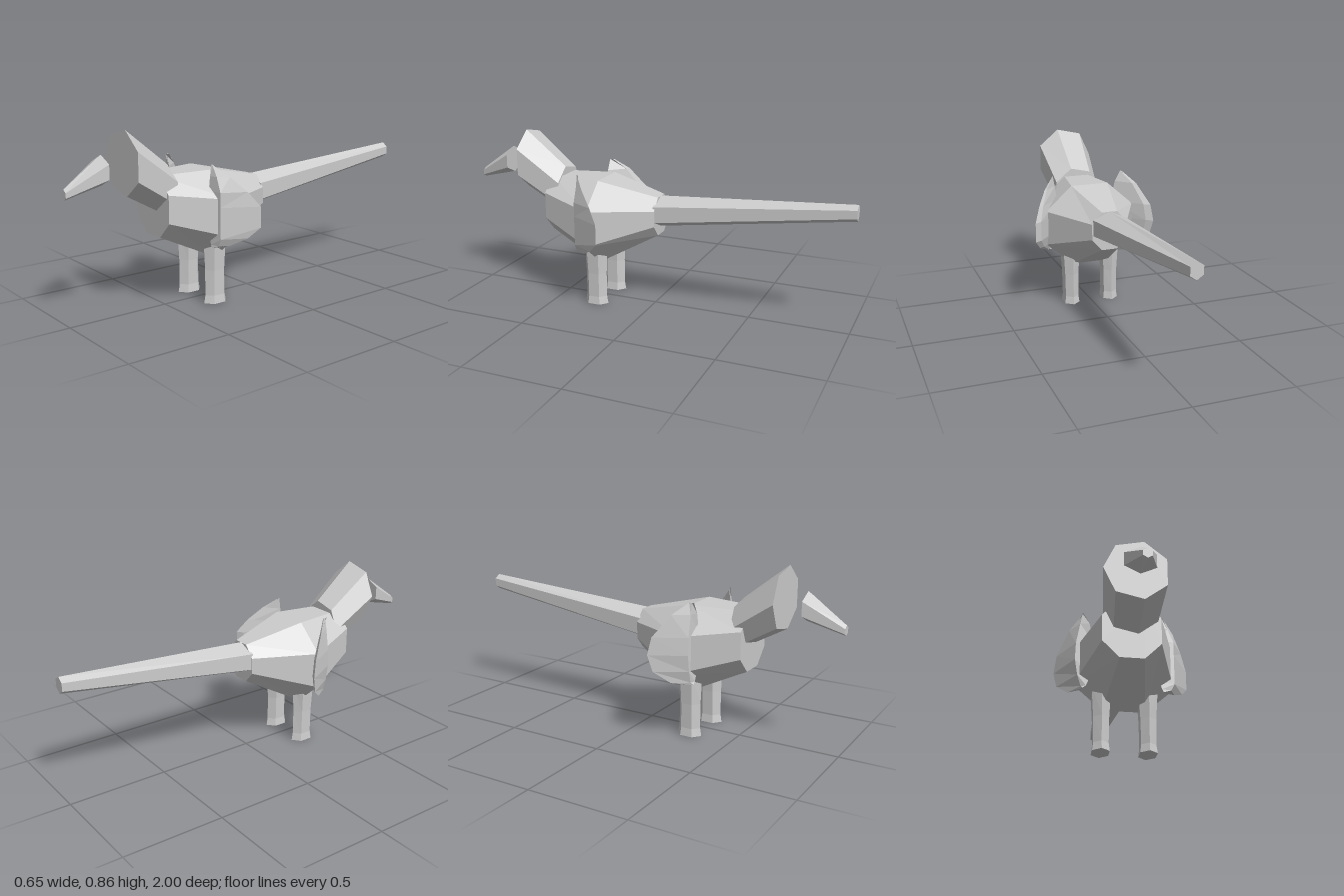
import * as THREE from 'three';

// Skin a list of equal-length point rings, close both ends, face outwards.
function loft(rings) {
  const tris = [];
  const n = rings[0].length;
  for (let i = 0; i < rings.length - 1; i++) {
    for (let j = 0; j < n; j++) {
      const k = (j + 1) % n;
      const a = rings[i][j], b = rings[i][k], c = rings[i + 1][k], d = rings[i + 1][j];
      tris.push([a, b, c], [a, c, d]);
    }
  }
  const first = rings[0], last = rings[rings.length - 1];
  for (let j = 1; j < n - 1; j++) {
    tris.push([first[0], first[j + 1], first[j]], [last[0], last[j], last[j + 1]]);
  }
  const cross = new THREE.Vector3();
  const e = new THREE.Vector3();
  let volume = 0;
  const origin = first[0];
  const kept = tris.filter(([a, b, c]) => {
    cross.subVectors(b, a).cross(e.subVectors(c, a));
    volume += cross.dot(e.subVectors(a, origin));
    return cross.length() > 1e-8;
  });
  const points = kept.flatMap(([a, b, c]) => (volume < 0 ? [a, c, b] : [a, b, c]));
  const geometry = new THREE.BufferGeometry().setFromPoints(points);
  geometry.computeVertexNormals();
  return geometry;
}

const V = (x, y, z) => new THREE.Vector3(x, y, z);

// Upright octagon: half width w, half height h, corner cuts at cx and cy.
const octagon = (y, z, w, h, cx, cy) => [
  [cx, h], [w, cy], [w, -cy], [cx, -h], [-cx, -h], [-w, -cy], [-w, cy], [-cx, h],
].map(([px, py]) => V(px, y + py, z));

// Hexagon with a point at top and bottom.
const hexagon = (z, w, top, upper, lower, bottom) => [
  V(0, top, z), V(w, upper, z), V(w, lower, z), V(0, bottom, z), V(-w, lower, z), V(-w, upper, z),
];

export function createModel() {
  const group = new THREE.Group();
  const grey = new THREE.MeshStandardMaterial({ color: 0xcccccc, flatShading: true });
  grey.name = 'plain grey';
  const add = (name, rings) => {
    const mesh = new THREE.Mesh(loft(rings), grey);
    mesh.name = name;
    group.add(mesh);
  };

  // Body: three octagons, fullest in the middle
  add('body', [
    octagon(0.495, 0.555, 0.135, 0.145, 0.057, 0.066),
    octagon(0.43, 0.27, 0.24, 0.215, 0.1, 0.09),
    octagon(0.478, -0.03, 0.092, 0.098, 0.04, 0.04),
  ]);

  // Tail: long tapering hexagon
  add('tail', [
    hexagon(-0.02, 0.085, 0.577, 0.538, 0.456, 0.418),
    hexagon(-1, 0.03, 0.64, 0.62, 0.58, 0.56),
  ]);

  // Head: seven-sided, flaring forwards and upwards
  const headOutline = [
    [0.035, 0.15], [-0.095, 0.12], [-0.15, 0], [-0.095, -0.12],
    [0.035, -0.15], [0.138, -0.07], [0.138, 0.065],
  ];
  const headRing = (y, z, s) => headOutline.map(([px, py]) => V(px * s, y + py * s, z));
  add('head', [headRing(0.71, 0.71, 1), headRing(0.56, 0.49, 0.82)]);

  // Beak: floats in front of the head
  add('beak', [
    hexagon(0.815, 0.072, 0.757, 0.723, 0.655, 0.62),
    hexagon(1, 0.02, 0.625, 0.612, 0.588, 0.576),
  ]);

  // Legs: six-sided, with flared feet [y, half width, half depth]
  const legRows = [
    [0, 0.04, 0.064], [0.04, 0.035, 0.057], [0.165, 0.037, 0.057], [0.32, 0.046, 0.064],
  ];
  for (const side of [1, -1]) {
    add(side > 0 ? 'leftLeg' : 'rightLeg', legRows.map(([y, w, d]) => [
      [0, 1], [1, 0.5], [1, -0.5], [0, -1], [-1, -0.5], [-1, 0.5],
    ].map(([px, pz]) => V(side * (0.109 + px * w), y, 0.283 + pz * d))));
  }

  // Wings: rows of [y, inner x, ridge x, tip x], swept back towards the tip
  const wing = (name, side, rows) => add(name, rows.map(([y, inner, ridge, tip]) => {
    const t = Math.max(0, (tip - 0.178) / 0.147);
    const tipZ = 0.345 - 0.172 * t ** 1.3;
    return [
      V(side * inner, y, 0.348),
      V(side * ridge, y, 0.338),
      V(side * tip, y, tipZ),
      V(side * (tip - 0.035 * t), y, tipZ + 0.02 * t),
    ];
  }));
  wing('leftWing', 1, [
    [0.29, 0.178, 0.18, 0.182], [0.305, 0.17, 0.215, 0.24], [0.34, 0.16, 0.232, 0.29],
    [0.39, 0.15, 0.232, 0.324], [0.49, 0.15, 0.232, 0.324], [0.56, 0.156, 0.232, 0.29],
    [0.63, 0.167, 0.205, 0.24], [0.685, 0.176, 0.178, 0.18],
  ]);
  wing('rightWing', -1, [
    [0.29, 0.2, 0.205, 0.208], [0.302, 0.185, 0.208, 0.262], [0.36, 0.16, 0.225, 0.312],
    [0.44, 0.15, 0.237, 0.326], [0.525, 0.15, 0.234, 0.315], [0.63, 0.172, 0.215, 0.262],
    [0.685, 0.203, 0.205, 0.207],
  ]);

  return group;
}
